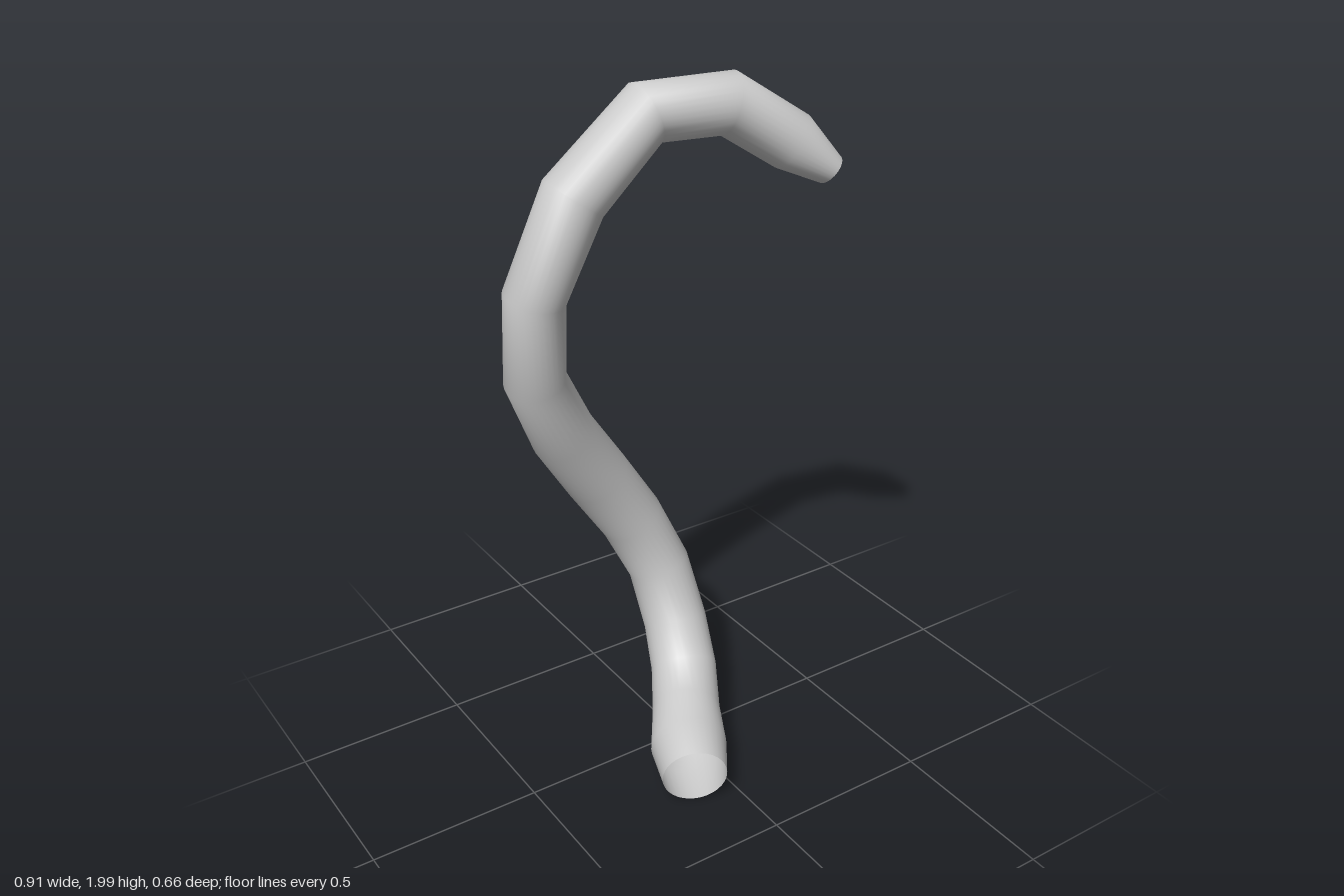
import * as THREE from 'three';

const SIDES = 32;

// Sections from tip to base: x, y, z, radius across the hook, radius within it
const SECTIONS = [
  [0.425, 1.73, 0.085, 0.058, 0.043],
  [0.33, 1.81, 0.04, 0.082, 0.08],
  [0.17, 1.92, -0.025, 0.09, 0.084],
  [-0.058, 1.92, -0.06, 0.094, 0.083],
  [-0.27, 1.735, -0.066, 0.092, 0.088],
  [-0.376, 1.485, -0.093, 0.087, 0.083],
  [-0.355, 1.23, -0.15, 0.088, 0.085],
  [-0.25, 1.02, -0.198, 0.094, 0.093],
  [-0.124, 0.835, -0.236, 0.097, 0.097],
  [-0.01, 0.66, -0.236, 0.095, 0.095],
  [0.069, 0.485, -0.21, 0.093, 0.093],
  [0.082, 0.315, -0.138, 0.095, 0.095],
  [0.055, 0.205, -0.05, 0.098, 0.098],
  [-0.01, 0.14, 0.06, 0.1, 0.1],
  [-0.085, 0.117, 0.185, 0.11, 0.11],
  [-0.135, 0.1, 0.29, 0.093, 0.093],
];

// Rings of points square to the centre line, carried along without twist
function makeRings() {
  const centres = SECTIONS.map(([x, y, z]) => new THREE.Vector3(x, y, z));
  const u = new THREE.Vector3(0, 0, 1);
  return SECTIONS.map(([, , , ru, rv], i) => {
    const before = centres[Math.max(i - 1, 0)];
    const after = centres[Math.min(i + 1, centres.length - 1)];
    const c = centres[i];
    // Bisecting direction at each bend
    const t = c.clone().sub(before).normalize()
      .add(after.clone().sub(c).normalize()).normalize();
    u.addScaledVector(t, -u.dot(t)).normalize();
    const v = t.clone().cross(u);
    return Array.from({ length: SIDES }, (_, j) => {
      const a = (j / SIDES) * Math.PI * 2;
      return c.clone().addScaledVector(u, ru * Math.cos(a)).addScaledVector(v, rv * Math.sin(a));
    });
  });
}

function meshFrom(name, points, index, material) {
  const geometry = new THREE.BufferGeometry().setFromPoints(points);
  geometry.setIndex(index);
  geometry.computeVertexNormals();
  const mesh = new THREE.Mesh(geometry, material);
  mesh.name = name;
  return mesh;
}

export function createModel() {
  const group = new THREE.Group();
  group.name = 'tail';
  const material = new THREE.MeshStandardMaterial({ color: 0xcccccc, side: THREE.DoubleSide });
  const rings = makeRings();

  // Curved body, open at the base
  const index = [];
  for (let i = 0; i < rings.length - 1; i++) {
    for (let j = 0; j < SIDES; j++) {
      const k = (j + 1) % SIDES;
      const a = i * SIDES + j, b = i * SIDES + k;
      index.push(a, b, a + SIDES, b, b + SIDES, a + SIDES);
    }
  }
  group.add(meshFrom('tailBody', rings.flat(), index, material));

  // Flat cap closing the tip
  const cap = [];
  for (let j = 0; j < SIDES; j++) cap.push(SIDES, (j + 1) % SIDES, j);
  const tip = new THREE.Vector3(...SECTIONS[0].slice(0, 3));
  group.add(meshFrom('tailTip', [...rings[0], tip], cap, material));

  return group;
}
